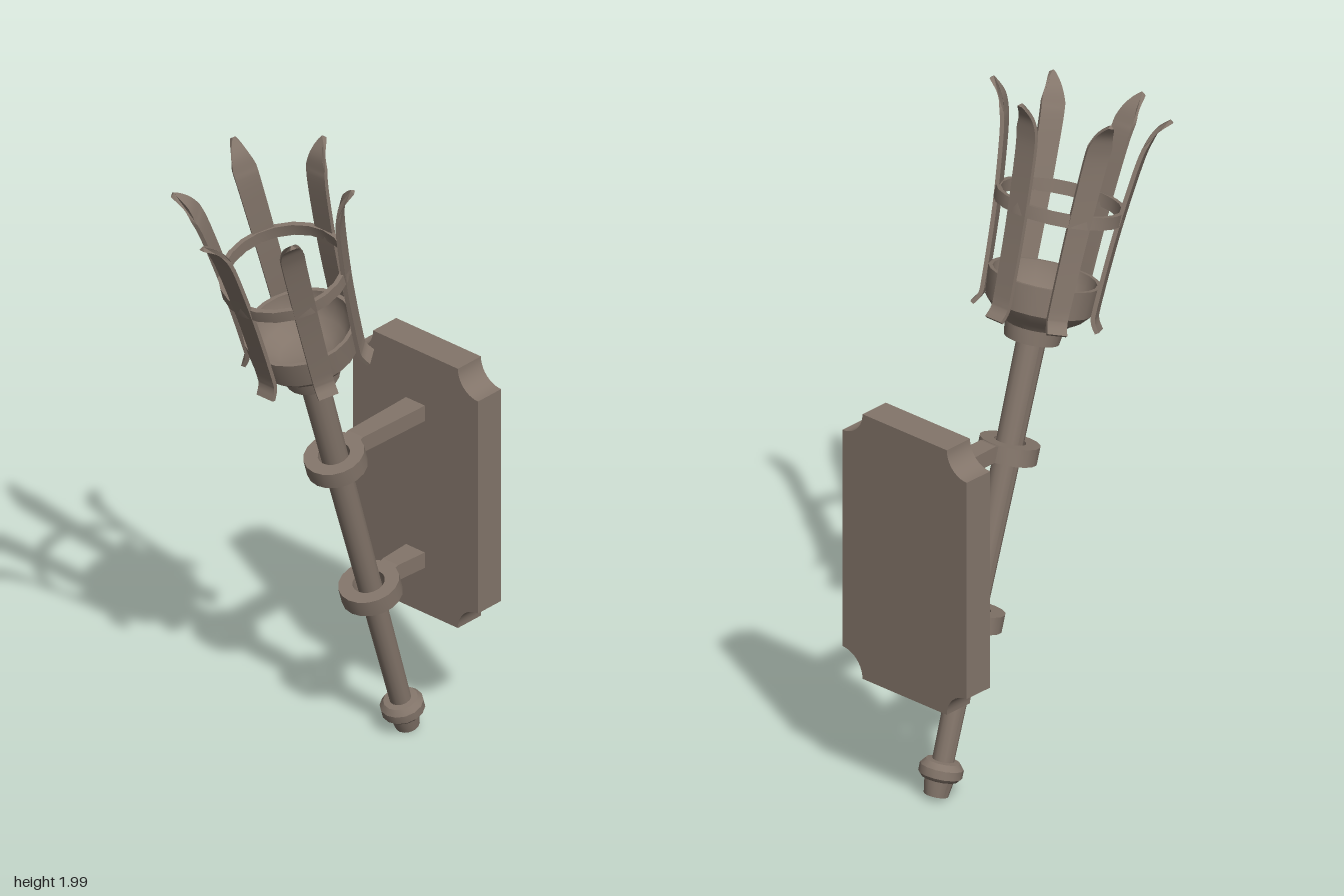
import * as THREE from 'three';
import { toCreasedNormals } from 'three/addons/utils/BufferGeometryUtils.js';

const TILT = THREE.MathUtils.degToRad(17);
const BASE = new THREE.Vector3(0, 0.013, -0.353);
const PLATE_FRONT = -0.385;

export function createModel() {
  const model = new THREE.Group();
  model.name = 'wallTorch';
  const iron = new THREE.MeshStandardMaterial({ color: 0x83756a });
  iron.name = 'wornIron';

  const add = (parent, name, geometry) => {
    const mesh = new THREE.Mesh(geometry, iron);
    mesh.name = name;
    parent.add(mesh);
    return mesh;
  };
  const lathe = (points, sides) => toCreasedNormals(
    new THREE.LatheGeometry(points.map(([r, y]) => new THREE.Vector2(r, y)), sides), 0.6);
  const band = (inner, outer, y, height, sides) => lathe([
    [inner, y - height / 2], [outer, y - height / 2], [outer, y + height / 2],
    [inner, y + height / 2], [inner, y - height / 2]], sides);

  // Wall plate with scooped corners
  const w = 0.23, h = 0.405, c = 0.074;
  const outline = new THREE.Shape();
  outline.moveTo(-w + c, -h);
  outline.lineTo(w - c, -h);
  outline.absarc(w, -h, c, Math.PI, Math.PI / 2, true);
  outline.lineTo(w, h - c);
  outline.absarc(w, h, c, -Math.PI / 2, -Math.PI, true);
  outline.lineTo(-w + c, h);
  outline.absarc(-w, h, c, 0, -Math.PI / 2, true);
  outline.lineTo(-w, -h + c);
  outline.absarc(-w, -h, c, Math.PI / 2, 0, true);
  const plateGeo = new THREE.ExtrudeGeometry(outline, { depth: 0.093, bevelEnabled: false, curveSegments: 5 });
  const plate = add(model, 'wallPlate', toCreasedNormals(plateGeo, 0.6));
  plate.position.set(0, 0.765, PLATE_FRONT - 0.093);

  // Everything on the leaning axis of the torch
  const torch = new THREE.Group();
  torch.name = 'torch';
  torch.position.copy(BASE);
  torch.rotation.x = TILT;
  model.add(torch);

  add(torch, 'shaft', lathe([[0, 0.05], [0.03, 0.05], [0.041, 1.33], [0, 1.33]], 14));
  add(torch, 'endKnob', lathe([
    [0, 0], [0.034, 0], [0.041, 0.045], [0.052, 0.048], [0.061, 0.058],
    [0.061, 0.082], [0.048, 0.098], [0.03, 0.1]], 14));

  // Bowl with collar and hollow inside
  add(torch, 'bowl', lathe([
    [0, 1.307], [0.077, 1.307], [0.083, 1.35], [0.098, 1.366], [0.125, 1.382], [0.149, 1.408],
    [0.157, 1.49], [0.145, 1.49], [0.138, 1.455], [0.115, 1.42], [0.075, 1.395], [0, 1.385]], 22));
  add(torch, 'basketBand', band(0.167, 0.181, 1.695, 0.036, 22));

  // Holding rings with their arms to the plate
  for (const s of [0.51, 0.99]) {
    add(torch, 'holdingRing', band(0.045, 0.085, s, 0.05, 18));
    const y = BASE.y + s * Math.cos(TILT) + 0.085 * Math.sin(TILT);
    const ringBack = BASE.z + s * Math.sin(TILT) - 0.085 * Math.cos(TILT);
    // Sections from wall to ring: z, half width, centre height
    const sections = [
      [PLATE_FRONT - 0.005, 0.035, y], [ringBack, 0.028, y], [ringBack + 0.025, 0.028, y - 0.008]];
    const arm = new THREE.BoxGeometry(2, 0.048, 2, 1, 1, 2).toNonIndexed();
    const p = arm.attributes.position;
    for (let i = 0; i < p.count; i++) {
      const [z, half, mid] = sections[Math.round(p.getZ(i)) + 1];
      p.setXYZ(i, p.getX(i) * half, p.getY(i) + mid, z);
    }
    arm.computeVertexNormals();
    add(model, 'arm', arm);
  }

  // Basket prongs: a bent strip whose width follows its height
  const curve = new THREE.SplineCurve([
    [0.177, 1.372], [0.16, 1.4], [0.158, 1.44], [0.166, 1.6], [0.176, 1.72],
    [0.192, 1.86], [0.205, 1.92], [0.221, 1.96], [0.254, 1.994]].map(([r, y]) => new THREE.Vector2(r, y)));
  const steps = 28, inside = [], outside = [];
  for (let i = 0; i <= steps; i++) {
    const pt = curve.getPoint(i / steps), t = curve.getTangent(i / steps);
    const n = new THREE.Vector2(t.y, -t.x).multiplyScalar(0.006);
    outside.push(pt.clone().add(n));
    inside.unshift(pt.clone().sub(n));
  }
  const halfWidth = (y) => {
    const body = 0.029 + 0.005 * THREE.MathUtils.clamp((y - 1.4) / 0.5, 0, 1);
    const tip = THREE.MathUtils.clamp((1.997 - y) / 0.075, 0.004, 1);
    return body * Math.pow(tip, 0.6);
  };
  const strip = new THREE.ExtrudeGeometry(new THREE.Shape([...outside, ...inside]),
    { depth: 2, bevelEnabled: false });
  strip.translate(0, 0, -1);
  const sp = strip.attributes.position;
  for (let i = 0; i < sp.count; i++) sp.setZ(i, sp.getZ(i) * halfWidth(sp.getY(i)));
  strip.rotateY(-Math.PI / 2);
  const prongGeo = toCreasedNormals(strip, 0.6);
  for (let i = 0; i < 6; i++) add(torch, 'prong', prongGeo).rotation.y = i * Math.PI / 3;

  return model;
}
